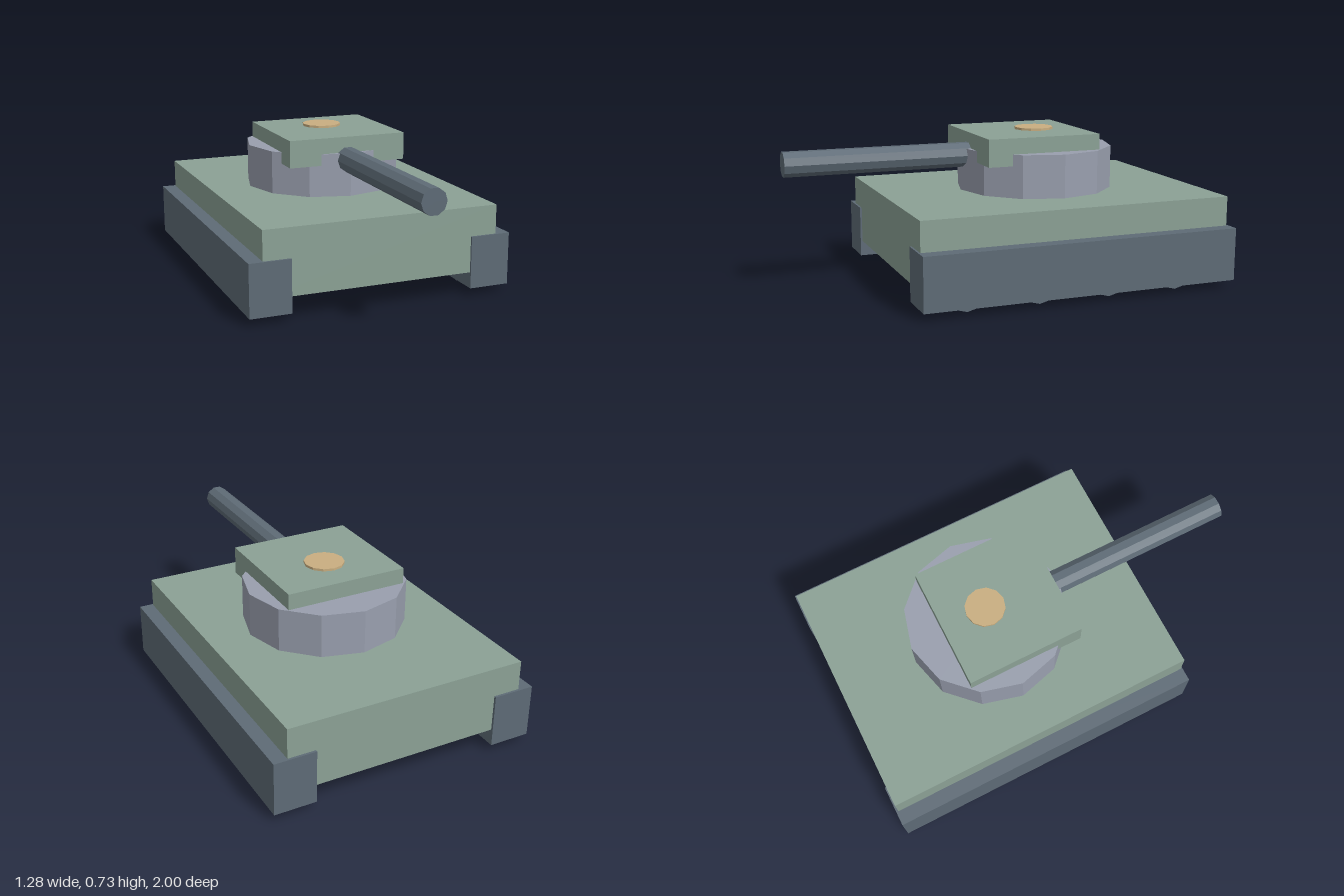
import * as THREE from 'three';

const paint = (name, color) => {
  const m = new THREE.MeshStandardMaterial({ color });
  m.name = name;
  m.flatShading = true;
  return m;
};

export function createModel() {
  const green = paint('sageGreen', 0x8ba195);
  const steel = paint('darkSteel', 0x5e6b76);
  const grey = paint('lavenderGrey', 0x999fae);
  const tan = paint('hatchTan', 0xc9ae80);

  const group = new THREE.Group();
  group.name = 'tank';
  const add = (name, geometry, material, x, y, z) => {
    const mesh = new THREE.Mesh(geometry, material);
    mesh.name = name;
    mesh.position.set(x, y, z);
    group.add(mesh);
    return mesh;
  };
  const turretZ = -0.235;

  // Hull
  add('hull', new THREE.BoxGeometry(1.146, 0.315, 1.516), green, 0, 0.27, -0.231);

  // Tracks with road wheels peeking out below
  const trackGeo = new THREE.BoxGeometry(0.197, 0.251, 1.536);
  const wheelGeo = new THREE.CylinderGeometry(0.122, 0.122, 0.074, 12).rotateZ(Math.PI / 2);
  for (const [side, s] of [['left', 1], ['right', -1]]) {
    add(side + 'Track', trackGeo, steel, s * 0.5415, 0.1615, -0.232);
    for (let i = 0; i < 4; i++) {
      add(side + 'Wheel' + (i + 1), wheelGeo, steel, s * 0.528, 0.122, 0.312 - i * 0.346);
    }
  }

  // Turret ring, floating just above the hull
  add('turret', new THREE.CylinderGeometry(0.379, 0.379, 0.205, 12), grey, 0, 0.5375, turretZ);

  // Armoured roof block
  add('turretRoof', new THREE.BoxGeometry(0.584, 0.13, 0.56), green, 0, 0.65, -0.172);

  // Round hatch
  add('hatch', new THREE.CylinderGeometry(0.094, 0.094, 0.04, 12), tan, 0, 0.706, turretZ);

  // Gun barrel, flat side up
  const barrelGeo = new THREE.CylinderGeometry(0.06, 0.06, 1.0, 10)
    .rotateY(Math.PI / 2).rotateX(Math.PI / 2);
  add('barrel', barrelGeo, steel, 0, 0.607, 0.5);

  return group;
}
